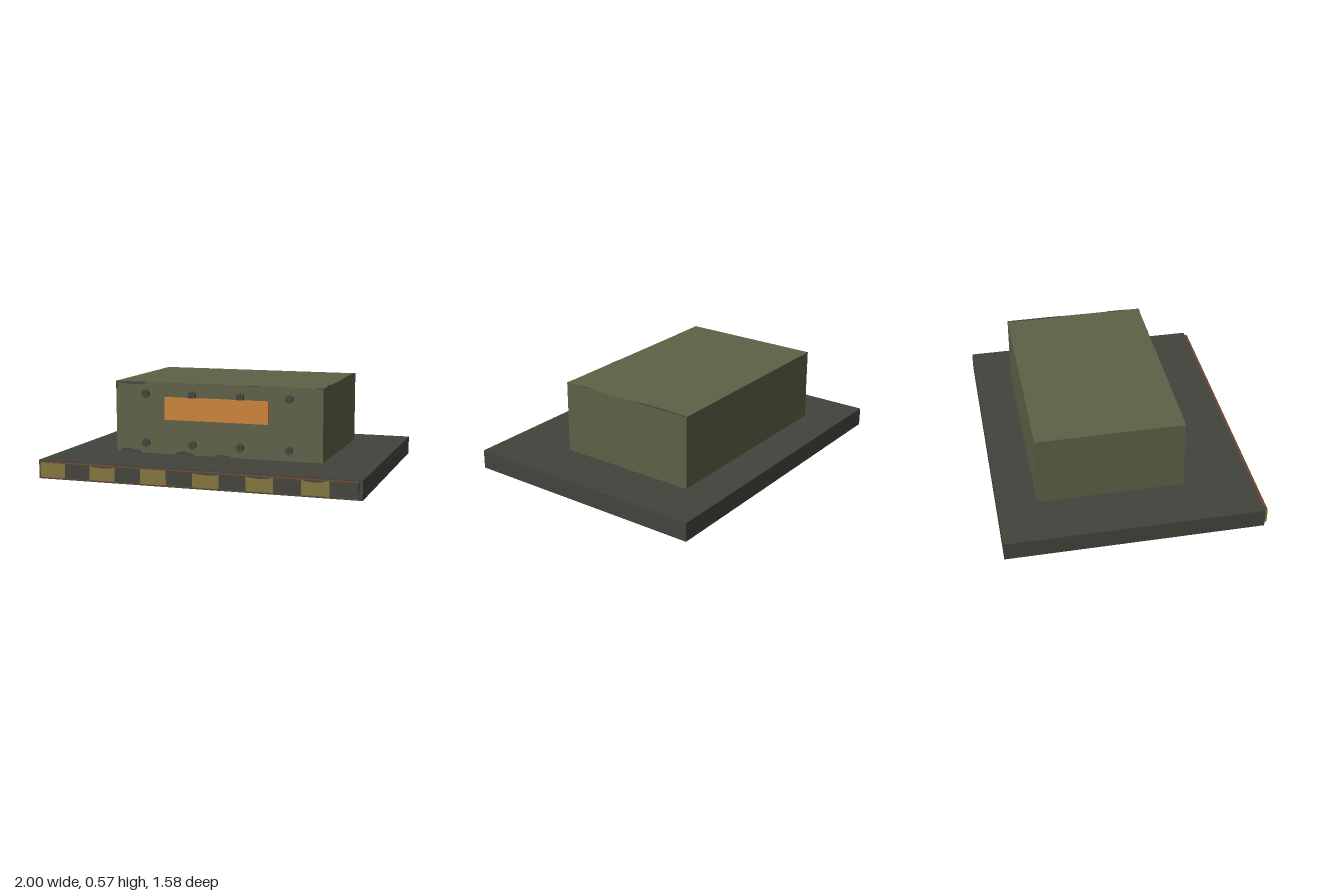
import * as THREE from 'three';

const mat = (name, color) => {
  const m = new THREE.MeshStandardMaterial({ color });
  m.name = name;
  return m;
};

export function createModel() {
  const charcoal = mat('charcoal', 0x43433c);
  const olive = mat('olive', 0x5e6045);
  const orange = mat('orange', 0xcc8338);
  const yellow = mat('worn yellow', 0x84763a);
  const rust = mat('rust', 0x6b4632);
  const wear = mat('bare metal', 0x42443f);

  const model = new THREE.Group();
  model.name = 'bolted housing';
  const add = (name, geometry, material, x = 0, y = 0, z = 0) => {
    const mesh = new THREE.Mesh(geometry, material);
    mesh.name = name;
    mesh.position.set(x, y, z);
    model.add(mesh);
    return mesh;
  };
  // box given by its limits on each axis
  const box = (name, material, x0, x1, y0, y1, z0, z1) =>
    add(name, new THREE.BoxGeometry(x1 - x0, y1 - y0, z1 - z0), material,
      (x0 + x1) / 2, (y0 + y1) / 2, (z0 + z1) / 2);

  // main bodies
  box('basePlate', charcoal, -1, 1, 0, 0.115, -0.79, 0.767);
  box('housing', olive, -0.67, 0.67, 0.115, 0.565, -0.55, 0.347);
  box('labelPlate', orange, -0.335, 0.335, 0.335, 0.475, 0.347, 0.37);

  // hexagonal bolt heads in two rows
  const boltGeometry = new THREE.CylinderGeometry(0.027, 0.027, 0.021, 6).toNonIndexed();
  boltGeometry.computeVertexNormals();
  for (const y of [0.492, 0.182]) {
    for (let i = 0; i < 4; i++) {
      add('bolt', boltGeometry, charcoal, -0.467 + i * 0.31, y, 0.3565).rotation.x = Math.PI / 2;
    }
  }

  // hazard strip of alternating blocks along the front edge
  const step = 1.96 / 12;
  for (let i = 0; i < 12; i++) {
    const x = -0.98 + i * step;
    box(i % 2 ? 'darkStripe' : 'yellowStripe', i % 2 ? charcoal : yellow,
      x, x + step, 0.014, 0.102, 0.767, 0.787);
  }
  box('stripTopEdge', rust, -0.98, 0.98, 0.102, 0.107, 0.767, 0.786);
  box('stripBottomEdge', rust, -0.98, 0.98, 0.009, 0.014, 0.767, 0.786);

  // thin worn patches: ragged outlines along an edge, from [start, end, height]
  const chipGeometry = (length, height) => {
    const s = new THREE.Shape();
    s.moveTo(0, 0);
    s.lineTo(length, 0);
    s.lineTo(length * 0.93, height * 0.6);
    s.lineTo(length * 0.7, height * 0.75);
    s.lineTo(length * 0.5, height);
    s.lineTo(length * 0.15, height * 0.8);
    s.closePath();
    return new THREE.ExtrudeGeometry(s, { depth: 0.002, bevelEnabled: false });
  };
  const lowerChips = [[-0.66, -0.5, 0.025], [-0.28, -0.15, 0.022], [-0.02, 0.09, 0.014]];
  for (const [a, b, h] of lowerChips) {
    add('lowerChip', chipGeometry(b - a, h), wear, a, 0.115, 0.347);
  }
  const upperChips = [[-0.67, -0.45, 0.018], [0.19, 0.27, 0.007], [0.62, 0.67, 0.008]];
  for (const [a, b, h] of upperChips) {
    add('upperChip', chipGeometry(b - a, h), wear, b, 0.565, 0.347).rotation.z = Math.PI;
  }
  add('cornerChip', chipGeometry(0.05, 0.015), wear, -0.67, 0.565, 0.347).rotation.z = -Math.PI / 2;

  // worn patches along the left top edge of the housing
  for (const [a, b, h] of [[-0.55, -0.18, 0.014], [0.13, 0.25, 0.009]]) {
    const chip = add('topEdgeChip', chipGeometry(b - a, h), wear, 0.67, 0.565, b);
    chip.rotation.set(-Math.PI / 2, 0, Math.PI / 2);
  }

  // worn corners on the yellow stripes
  for (const [a, b] of [[-0.65, -0.49], [0.0, 0.17], [0.33, 0.48], [0.66, 0.79]]) {
    add('stripeChip', chipGeometry(b - a, 0.011), wear, b, 0.102, 0.786).rotation.z = Math.PI;
  }
  return model;
}
